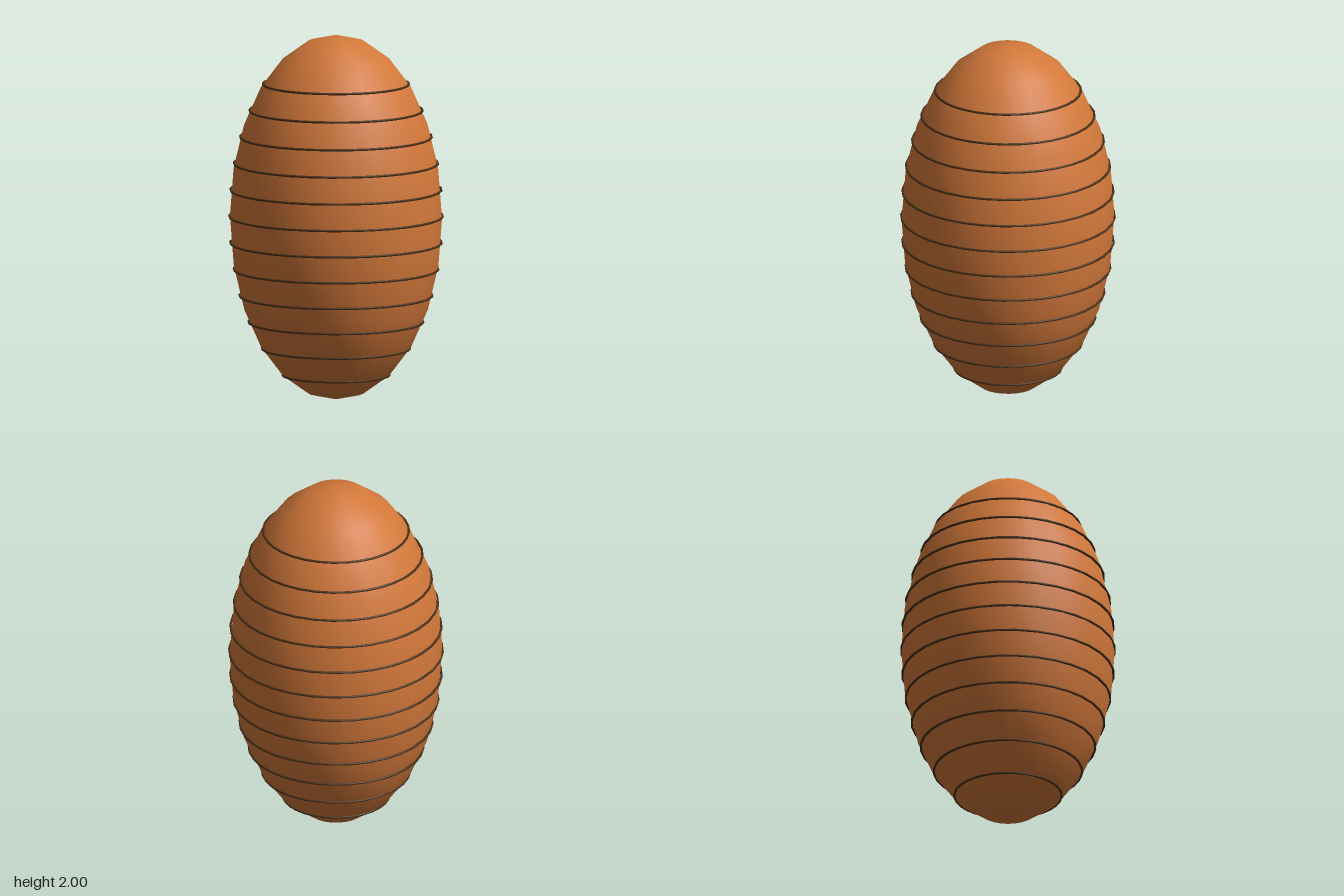
import * as THREE from 'three';

export function createModel() {
  const model = new THREE.Group();
  const shellMaterial = new THREE.MeshStandardMaterial({ color: 0xd2783a });
  shellMaterial.name = 'warm orange';
  const bandMaterial = new THREE.MeshStandardMaterial({ color: 0x4a3018 });
  bandMaterial.name = 'dark brown';

  const radius = 0.58;

  // Tall egg-shaped body
  const bodyGeometry = new THREE.SphereGeometry(1, 24, 12);
  bodyGeometry.scale(radius, 1, radius);
  const body = new THREE.Mesh(bodyGeometry, shellMaterial);
  body.name = 'body';
  body.position.y = 1;
  model.add(body);

  // Thin bands, evenly spaced in height and following the body's outline
  const bands = new THREE.Group();
  bands.name = 'bands';
  for (let i = 0; i < 12; i++) {
    const y = 0.135 + i * 0.145;
    const bandRadius = radius * Math.sqrt(1 - (y - 1) ** 2);
    const geometry = new THREE.TorusGeometry(bandRadius, 0.0065, 8, 32);
    geometry.rotateX(Math.PI / 2);
    const band = new THREE.Mesh(geometry, bandMaterial);
    band.name = `band${i + 1}`;
    band.position.y = y;
    bands.add(band);
  }
  model.add(bands);

  return model;
}
